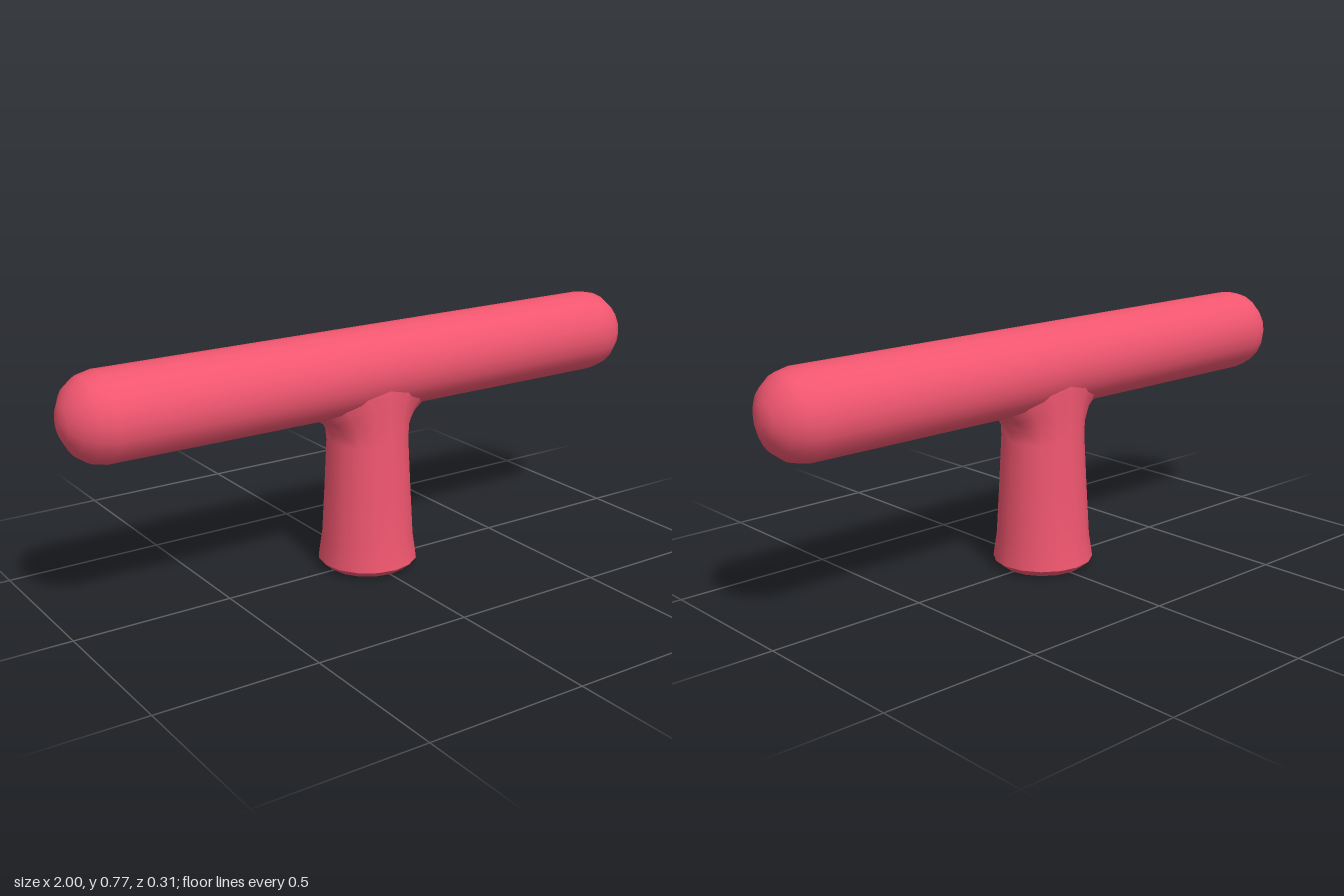
import * as THREE from 'three';
import { mergeVertices } from 'three/addons/utils/BufferGeometryUtils.js';

const BAR_Y = 0.638, BAR_R = 0.132;

// Turned solid from [radius, height] pairs, listed bottom to top
const lathe = (pts, sides) =>
  new THREE.LatheGeometry(pts.map(([r, y]) => new THREE.Vector2(r, y)), sides);

// Weld the lathe seam and recompute smooth normals
function smooth(geo) {
  geo.deleteAttribute('uv');
  geo.deleteAttribute('normal');
  const welded = mergeVertices(geo, 1e-4);
  welded.computeVertexNormals();
  return welded;
}

export function createModel() {
  const model = new THREE.Group();
  const material = new THREE.MeshStandardMaterial({ color: 0xf0566f });
  const add = (name, geo) => {
    const mesh = new THREE.Mesh(geo, material);
    mesh.name = name;
    model.add(mesh);
    return mesh;
  };

  // Crossbar with rounded ends
  const end = [[BAR_R, 0.88], [0.122, 0.925], [0.095, 0.962], [0.05, 0.988], [0, 1]];
  const profile = [...end.map(([r, x]) => [r, -x]).reverse(), ...end];
  const bar = add('crossbar', smooth(lathe(profile, 20)));
  bar.rotation.z = -Math.PI / 2;
  bar.position.y = BAR_Y;

  // Tapered stem; its upper rings widen along x and wrap onto the bar
  const stem = lathe([
    [0.157, 0.025], [0.146, 0.1], [0.137, 0.26], [0.129, 0.42],
    [0.127, 0.455], [0.126, 0.485], [0.125, 0.505], [0.124, 0.512],
  ], 16);
  const p = stem.attributes.position;
  for (let i = 0; i < p.count; i++) {
    const y = p.getY(i), z = p.getZ(i);
    const t = Math.max(0, (y - 0.42) / 0.092);
    if (t === 0) continue;
    const barBottom = BAR_Y - Math.sqrt(Math.max(0, BAR_R ** 2 - z * z));
    p.setX(i, p.getX(i) * (1 + 0.6 * t ** 2.5));
    p.setY(i, y + t * (barBottom - (BAR_Y - BAR_R)));
  }
  add('stem', smooth(stem));

  // Chamfered underside of the stem
  add('stemBase', smooth(lathe([[0, 0], [0.13, 0.002], [0.157, 0.025]], 16)));

  return model;
}
